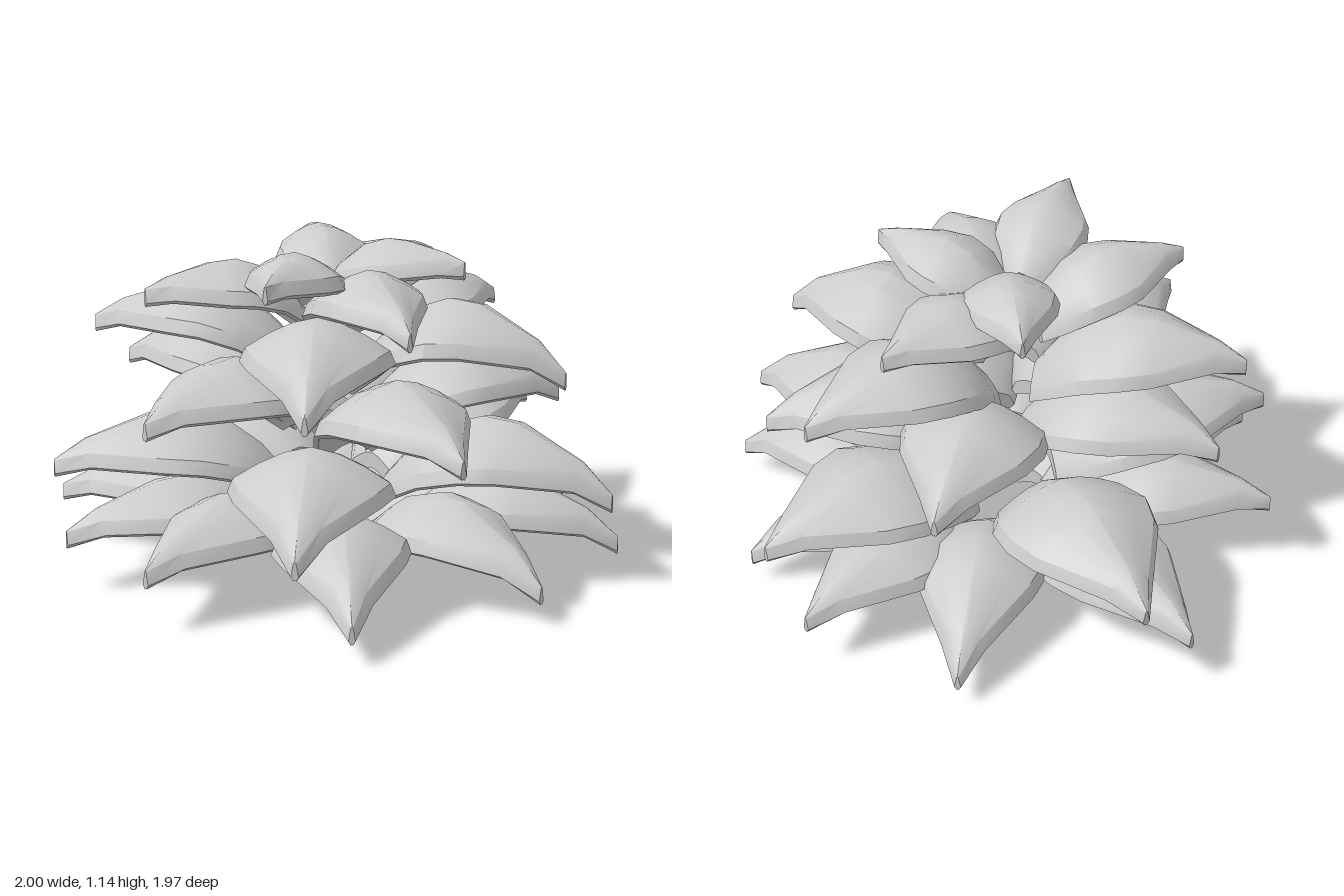
import * as THREE from 'three';
import { toCreasedNormals } from 'three/addons/utils/BufferGeometryUtils.js';

// Lengthwise sections of a leaf: [position, half-width, height].
// Height runs base -> crest up to CREST, then tip -> crest.
const SECTIONS = [
  [0, 0.42, 0], [0.1, 0.7, 0.4], [0.25, 0.93, 0.8], [0.43, 1, 1],
  [0.58, 0.87, 0.95], [0.86, 0.31, 0.47], [1, 0.03, 0],
];
const CREST = 3;
const COLS = 7;
const RING = COLS * 2 + 2;

// One arched, pointed leaf with a bevelled rim, running along +z
function leafGeometry(reach, length, halfWidth, base, crest, tip) {
  const pos = [], index = [];
  SECTIONS.forEach(([t, w, h], i) => {
    const y = THREE.MathUtils.lerp(i <= CREST ? base : tip, crest, h);
    const z = reach - length * (1 - t);
    const hw = halfWidth * w;
    const inset = Math.min(0.015, hw * 0.5);
    const point = (s, width, drop) =>
      pos.push(s * width, y - 0.42 * hw * Math.abs(s) ** 1.6 - drop, z);
    const across = (j) => (j / (COLS - 1)) * 2 - 1;
    for (let j = 0; j < COLS; j++) point(across(j), hw - inset, 0);
    point(1, hw + 0.004, 0.045);
    for (let j = COLS - 1; j >= 0; j--) point(across(j), hw - inset, 0.058);
    point(-1, hw + 0.004, 0.045);
  });
  const quad = (a, b, c, d) => index.push(a, b, c, a, c, d);
  const last = (SECTIONS.length - 1) * RING;
  for (let r = 0; r < last; r += RING) {
    for (let j = 0; j < RING; j++) {
      const k = (j + 1) % RING, n = r + RING;
      quad(r + j, n + j, n + k, r + k);
    }
  }
  // close the root and the tip
  for (let j = 0; j < COLS - 1; j++) {
    const m = RING - 2 - j;
    quad(j, j + 1, m - 1, m);
    quad(last + m, last + m - 1, last + j + 1, last + j);
  }
  for (const [a, b, c] of [[COLS - 1, COLS, COLS + 1], [RING - 2, RING - 1, 0]]) {
    index.push(a, b, c, last + c, last + b, last + a);
  }
  const g = new THREE.BufferGeometry();
  g.setAttribute('position', new THREE.Float32BufferAttribute(pos, 3));
  g.setIndex(index);
  return toCreasedNormals(g, 0.5);
}

const material = new THREE.MeshStandardMaterial({ color: 0xcccccc });

// Leaves of equal height and length; each [x, z] in tips is where a leaf ends
function whorl(name, tipY, crest, length, halfWidth, tips) {
  const group = new THREE.Group();
  group.name = name;
  const rise = Math.min(0.24, 0.15 + 0.5 * (1.14 - crest)); // root to crest
  for (const [x, z] of tips) {
    const geometry = leafGeometry(Math.hypot(x, z), length, halfWidth, crest - rise, crest, tipY + 0.045);
    const leaf = new THREE.Mesh(geometry, material);
    leaf.name = 'leaf';
    leaf.rotation.y = Math.atan2(x, z);
    group.add(leaf);
  }
  return group;
}

export function createModel() {
  const model = new THREE.Group();
  model.name = 'layeredLeafRosette';
  model.add(
    whorl('crownLeaves', 1.04, 1.14, 0.5, 0.165, [[-0.31, -0.27], [0.5, -0.08], [0.22, 0.61]]),
    whorl('upperLeaves', 0.965, 1.08, 0.57, 0.19, [[-0.29, 0.61], [0.05, -0.54]]),
    whorl('upperDroopingLeaf', 0.88, 1.07, 0.57, 0.2, [[0.56, 0.31]]),
    whorl('shoulderLeaves', 0.785, 0.96, 0.72, 0.235, [[-0.71, 0.42], [0.15, -0.8]]),
    whorl('shoulderDroopingLeaves', 0.69, 0.95, 0.72, 0.25, [[0.47, 0.73], [0.82, -0.21]]),
    whorl('middleLeaves', 0.605, 0.79, 0.72, 0.245, [[-0.33, -0.72], [-0.79, 0.17], [-0.07, 0.86]]),
    whorl('middleDroopingLeaves', 0.515, 0.725, 0.72, 0.25, [[0.79, 0.34], [0.55, -0.62]]),
    whorl('lowerLeaves', 0.37, 0.555, 0.8, 0.265, [[-0.57, 0.78], [-0.94, -0.4], [0.19, -0.98]]),
    whorl('lowerDroopingLeaves', 0.29, 0.555, 0.8, 0.27, [[0.55, 0.88], [0.99, -0.25]]),
    whorl('bottomLeaves', 0.17, 0.35, 0.8, 0.22,
      [[-0.8, 0.52], [0.03, 0.98], [0.01, -0.99], [-1, -0.22], [-0.43, 0.87]]),
    whorl('bottomDroopingLeaves', 0.085, 0.335, 0.8, 0.225,
      [[0.69, 0.78], [0.97, 0.15], [-0.49, -0.8], [0.46, -0.82], [0.93, -0.41]]),
  );
  return model;
}
